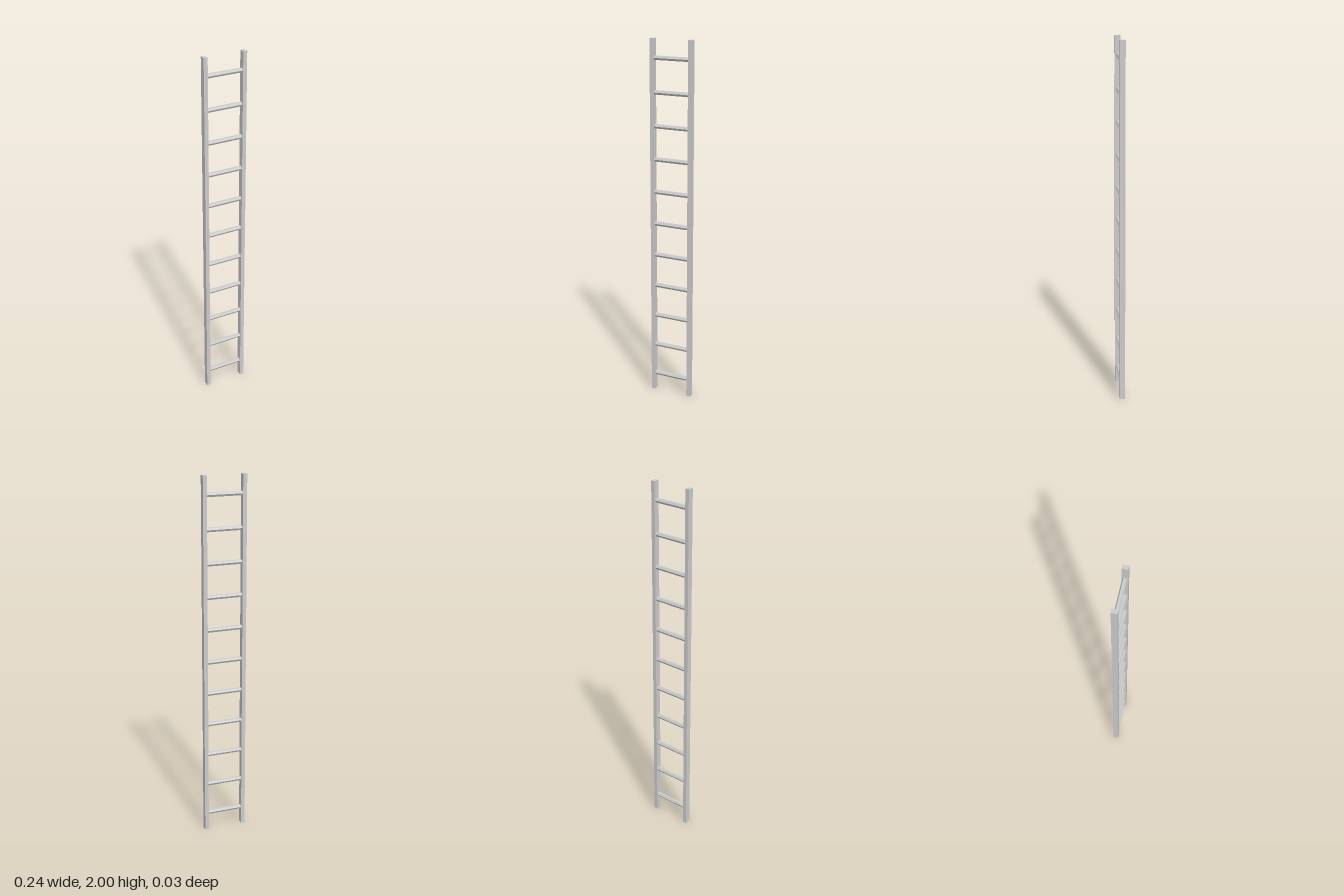
import * as THREE from 'three';

export function createModel() {
  const group = new THREE.Group();
  const material = new THREE.MeshStandardMaterial({ color: 0xcccccc, flatShading: true });

  const railWidth = 0.022, railDepth = 0.031, height = 2, railX = 0.11;

  // Two upright side rails
  const railGeometry = new THREE.BoxGeometry(railWidth, height, railDepth);
  for (const [name, side] of [['leftRail', 1], ['rightRail', -1]]) {
    const rail = new THREE.Mesh(railGeometry, material);
    rail.name = name;
    rail.position.set(side * railX, height / 2, 0);
    group.add(rail);
  }

  // Evenly spaced six-sided rungs, flat on top, ending inside the rails
  const rungCount = 11, firstRung = 0.1, spacing = 0.18;
  const rungGeometry = new THREE.CylinderGeometry(0.0125, 0.0125, railX * 2 - railWidth + 0.004, 6);
  rungGeometry.rotateZ(Math.PI / 2);
  for (let i = 0; i < rungCount; i++) {
    const rung = new THREE.Mesh(rungGeometry, material);
    rung.name = `rung${i + 1}`;
    rung.position.y = firstRung + i * spacing;
    group.add(rung);
  }

  return group;
}
